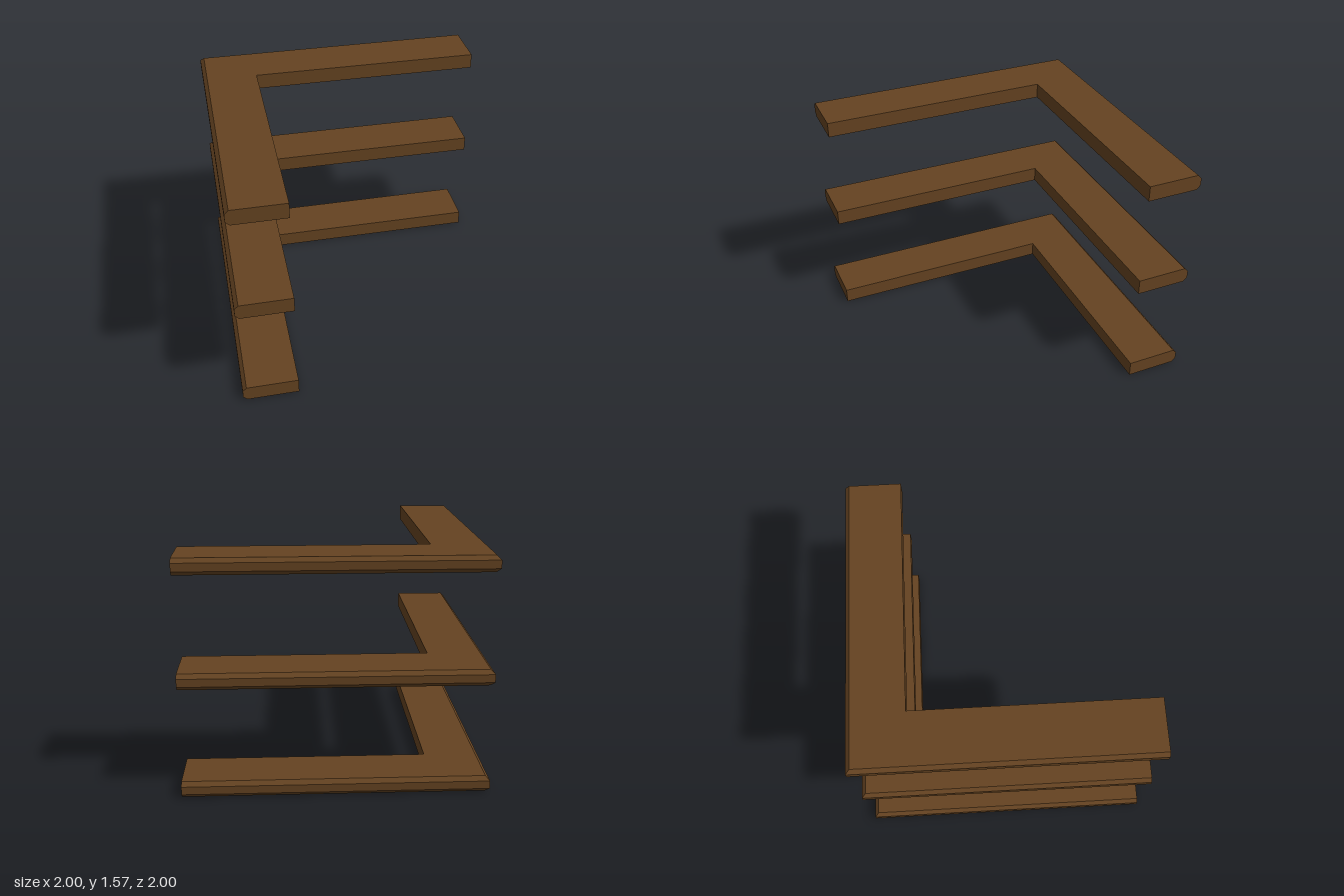
import * as THREE from 'three';

const DEPTH = 0.38, THICK = 0.107, BEVEL = 0.027;

// L-shaped corner board: a bevelled section swept round a mitred corner
function cornerBoardGeometry() {
  // section as [distance from outer edge, height], counter-clockwise
  const section = [
    [BEVEL, 0], [DEPTH, 0], [DEPTH, THICK],
    [BEVEL, THICK], [0, THICK - BEVEL], [0, BEVEL],
  ];
  const stations = [
    ([d, y]) => [1, y, -1 + d],       // end of the back arm
    ([d, y]) => [-1 + d, y, -1 + d],  // mitred corner
    ([d, y]) => [-1 + d, y, 1],       // end of the side arm
  ];
  const rings = stations.map((place) => section.map(place));
  const n = section.length;
  const positions = [];
  const tri = (a, b, c) => positions.push(...a, ...b, ...c);

  // long faces
  for (let s = 0; s < 2; s++) {
    for (let i = 0; i < n; i++) {
      const j = (i + 1) % n;
      tri(rings[s][i], rings[s][j], rings[s + 1][j]);
      tri(rings[s][i], rings[s + 1][j], rings[s + 1][i]);
    }
  }
  // end caps
  for (let i = 1; i < n - 1; i++) {
    tri(rings[0][0], rings[0][i + 1], rings[0][i]);
    tri(rings[2][0], rings[2][i], rings[2][i + 1]);
  }

  const geometry = new THREE.BufferGeometry();
  geometry.setAttribute('position', new THREE.Float32BufferAttribute(positions, 3));
  geometry.computeVertexNormals();
  return geometry;
}

export function createModel() {
  const group = new THREE.Group();
  group.name = 'cornerShelves';
  const wood = new THREE.MeshStandardMaterial({ color: 0x654321 });
  wood.name = 'dark brown wood';

  // three identical shelves, evenly spaced
  const geometry = cornerBoardGeometry();
  ['lowerShelf', 'middleShelf', 'upperShelf'].forEach((name, i) => {
    const shelf = new THREE.Mesh(geometry, wood);
    shelf.name = name;
    shelf.position.y = i * 0.733;
    group.add(shelf);
  });
  return group;
}
